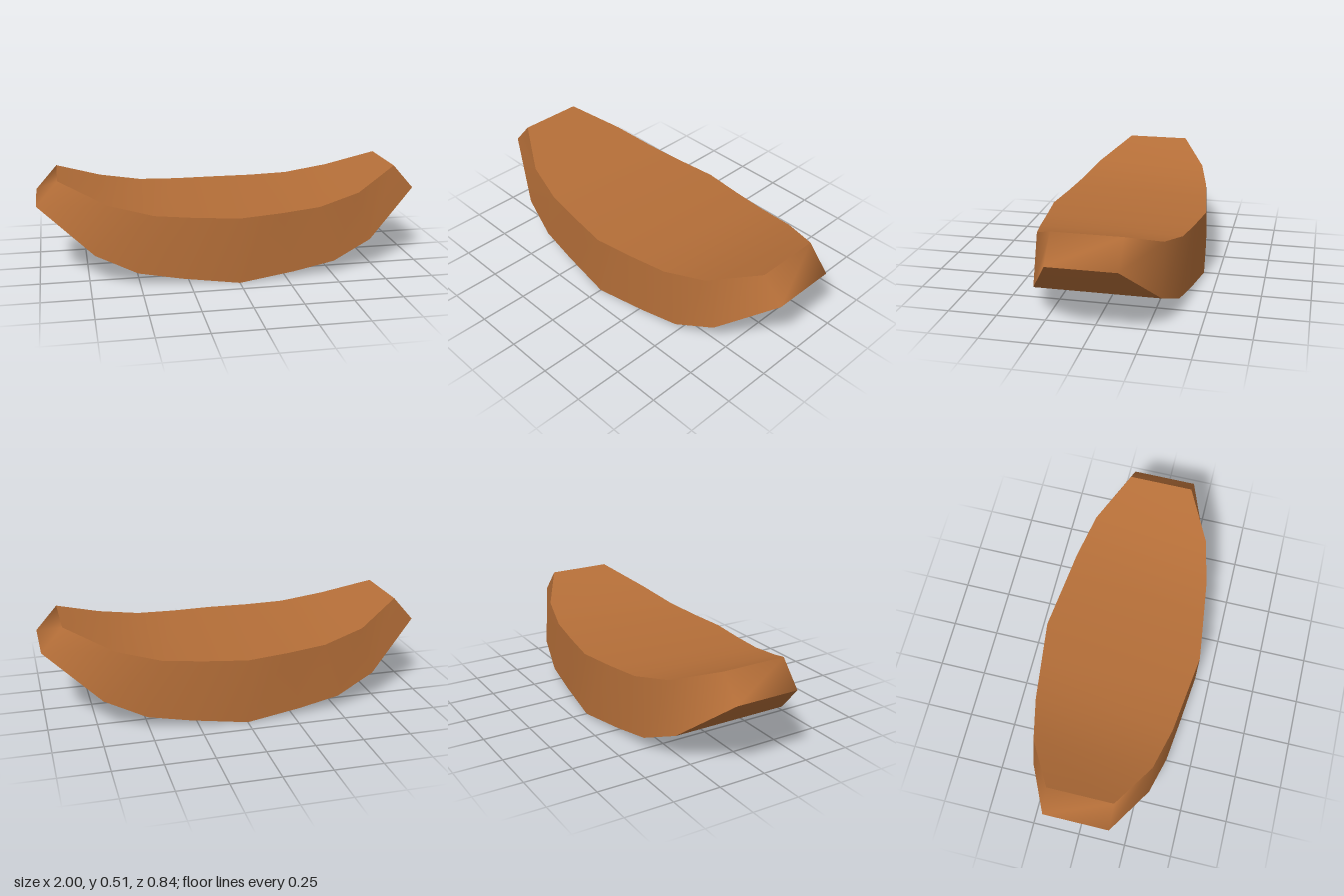
import * as THREE from 'three';

// Half outlines from the middle to the tip: [x, y, z]
const TOP = [[0, 0.343, 0.42], [0.22, 0.35, 0.392], [0.425, 0.363, 0.365], [0.65, 0.413, 0.31], [0.888, 0.513, 0.17]];
const BOTTOM = [[0, 0, 0.42], [0.29, 0.032, 0.39], [0.51, 0.066, 0.365], [0.72, 0.155, 0.315], [1, 0.386, 0.17]];

// Closed rim, counter-clockwise from above: front from -x to +x, then back again
function makeRim(half) {
  const mirrored = half.slice(1).reverse().map(([x, y, z]) => [-x, y, z]);
  const front = [...mirrored, ...half];
  const back = front.map(([x, y, z]) => [x, y, -z]).reverse();
  return [...front, ...back];
}

function makeMesh(name, points, index, material) {
  const geometry = new THREE.BufferGeometry();
  geometry.setAttribute('position', new THREE.Float32BufferAttribute(points.flat(), 3));
  geometry.setIndex(index);
  geometry.computeVertexNormals();
  const mesh = new THREE.Mesh(geometry, material);
  mesh.name = name;
  return mesh;
}

// Smooth curved sheet spanning the front and back halves of a rim
function makeSheet(name, rim, facesUp, material) {
  const n = rim.length;
  const index = [];
  for (let i = 0; i < n / 2 - 1; i++) {
    const a = i, b = i + 1, c = n - 2 - i, d = n - 1 - i;
    if (facesUp) index.push(a, b, c, a, c, d);
    else index.push(a, c, b, a, d, c);
  }
  return makeMesh(name, rim, index, material);
}

// Smooth band joining the lower rim to the upper rim
function makeWall(name, lower, upper, material) {
  const n = lower.length;
  const index = [];
  for (let i = 0; i < n; i++) {
    const j = (i + 1) % n;
    index.push(i, j, n + j, i, n + j, n + i);
  }
  return makeMesh(name, [...lower, ...upper], index, material);
}

export function createModel() {
  const wood = new THREE.MeshStandardMaterial({ color: 0xb46e38 });
  wood.name = 'warm brown';

  const upper = makeRim(TOP);
  const lower = makeRim(BOTTOM);

  const model = new THREE.Group();
  model.name = 'curvedBlock';
  model.add(
    makeSheet('topSurface', upper, true, wood),
    makeSheet('undersideSurface', lower, false, wood),
    makeWall('sideWall', lower, upper, wood),
  );
  return model;
}
